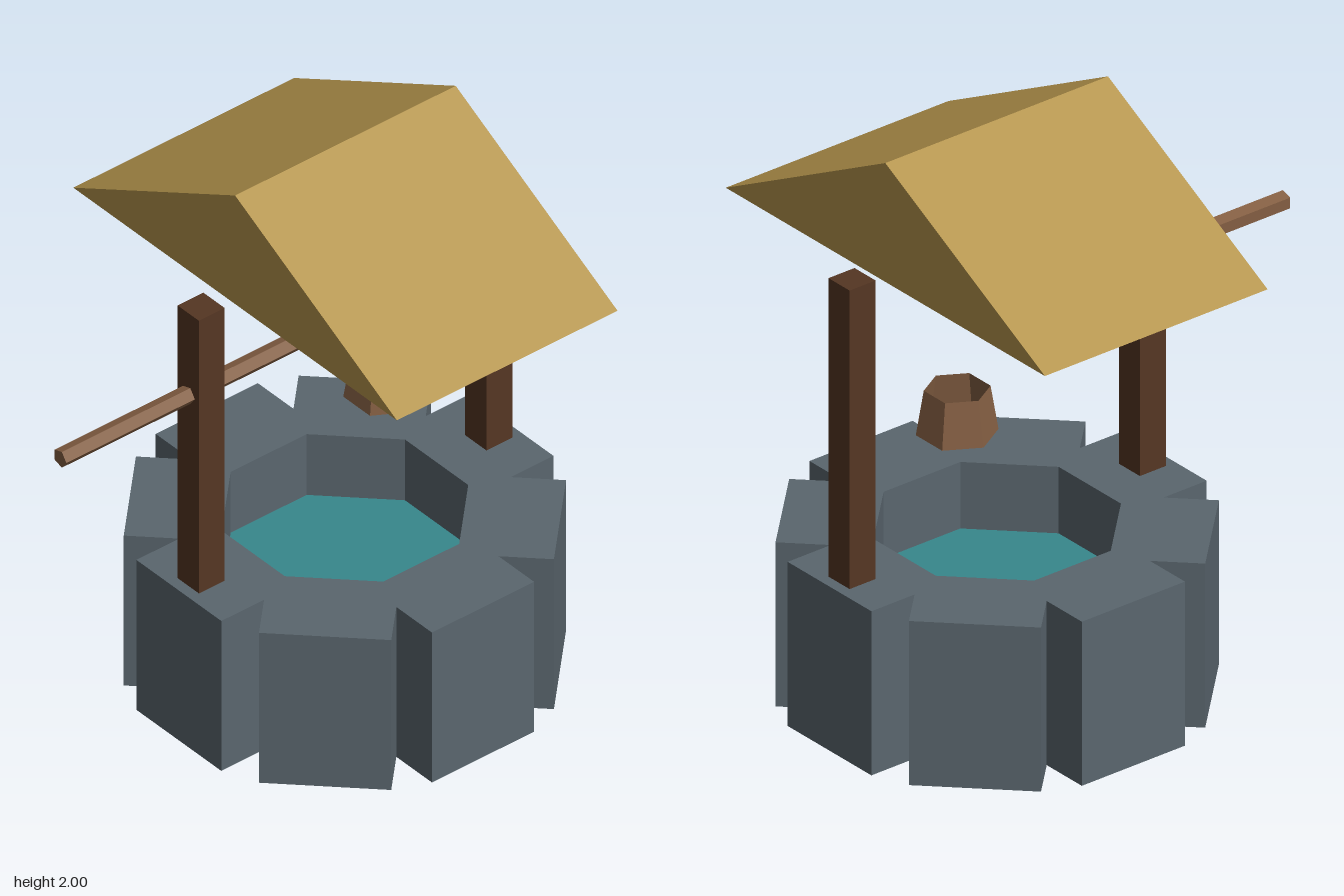
import * as THREE from 'three';

const WELL_X = 0.24; // the well sits off-centre because the axle sticks out to one side

const paint = (name, color, side = THREE.FrontSide) => {
  const m = new THREE.MeshStandardMaterial({ color, side, flatShading: true });
  m.name = name;
  return m;
};

export function createModel() {
  const model = new THREE.Group();
  model.name = 'well';

  const stone = paint('stone', 0x5a666e);
  const darkWood = paint('dark wood', 0x553623);
  const lightWood = paint('light wood', 0x835e42, THREE.DoubleSide);
  const thatch = paint('thatch', 0xb3934b);
  const waterBlue = paint('water', 0x37878c);

  const add = (name, geometry, material, x, y, z = 0) => {
    const mesh = new THREE.Mesh(geometry, material);
    mesh.name = name;
    mesh.position.set(x, y, z);
    model.add(mesh);
    return mesh;
  };

  // Stone ring: eight blocks merged into one notched outline around an octagonal shaft
  const outer = 0.67, half = 0.206, inner = 0.37;
  const step = Math.PI / 4;
  const notch = half / Math.sin(step / 2) * Math.cos(step / 2);
  const at = (a, r, t) => new THREE.Vector2(
    r * Math.cos(a) - t * Math.sin(a),
    r * Math.sin(a) + t * Math.cos(a)
  );
  const outline = [], shaft = [];
  for (let i = 0; i < 8; i++) {
    const a = i * step;
    outline.push(at(a, outer, -half), at(a, outer, half), at(a, notch, half));
    shaft.push(at(a, inner, inner * Math.tan(step / 2)));
  }
  const ring = new THREE.Shape(outline);
  ring.holes.push(new THREE.Path(shaft));
  const ringGeometry = new THREE.ExtrudeGeometry(ring, { depth: 0.58, bevelEnabled: false });
  ringGeometry.rotateX(-Math.PI / 2);
  add('stoneRing', ringGeometry, stone, WELL_X, 0);

  // Water slab filling the shaft
  const shaftRadius = inner / Math.cos(step / 2);
  const water = new THREE.CylinderGeometry(shaftRadius, shaftRadius, 0.06, 8);
  water.rotateY(step / 2);
  add('water', water, waterBlue, WELL_X, 0.315);

  // Posts on both sides
  for (const [name, side] of [['rightPost', -1], ['leftPost', 1]]) {
    add(name, new THREE.BoxGeometry(0.104, 1.08, 0.104), darkWood, WELL_X + side * 0.58, 1.095);
  }

  // Five-sided axle through the right post
  const axle = new THREE.CylinderGeometry(0.032, 0.032, 1.15, 5);
  axle.rotateZ(Math.PI / 2);
  add('axle', axle, lightWood, -0.335, 1.32);

  // Open six-sided bucket with a floor
  add('bucketWall', new THREE.CylinderGeometry(0.105, 0.13, 0.155, 6, 1, true), lightWood, 0.4, 1.028);
  const floor = new THREE.CircleGeometry(0.13, 6);
  floor.rotateZ(Math.PI / 2);
  floor.rotateX(Math.PI / 2);
  add('bucketFloor', floor, lightWood, 0.4, 0.9505);

  // Solid gable roof, ridge along x
  const gable = new THREE.Shape([
    new THREE.Vector2(-0.785, 0),
    new THREE.Vector2(0.785, 0),
    new THREE.Vector2(0, 0.42),
  ]);
  const roof = new THREE.ExtrudeGeometry(gable, { depth: 0.89, bevelEnabled: false });
  roof.translate(0, 0, -0.445);
  roof.rotateY(Math.PI / 2);
  add('roof', roof, thatch, 0.242, 1.58);

  return model;
}
